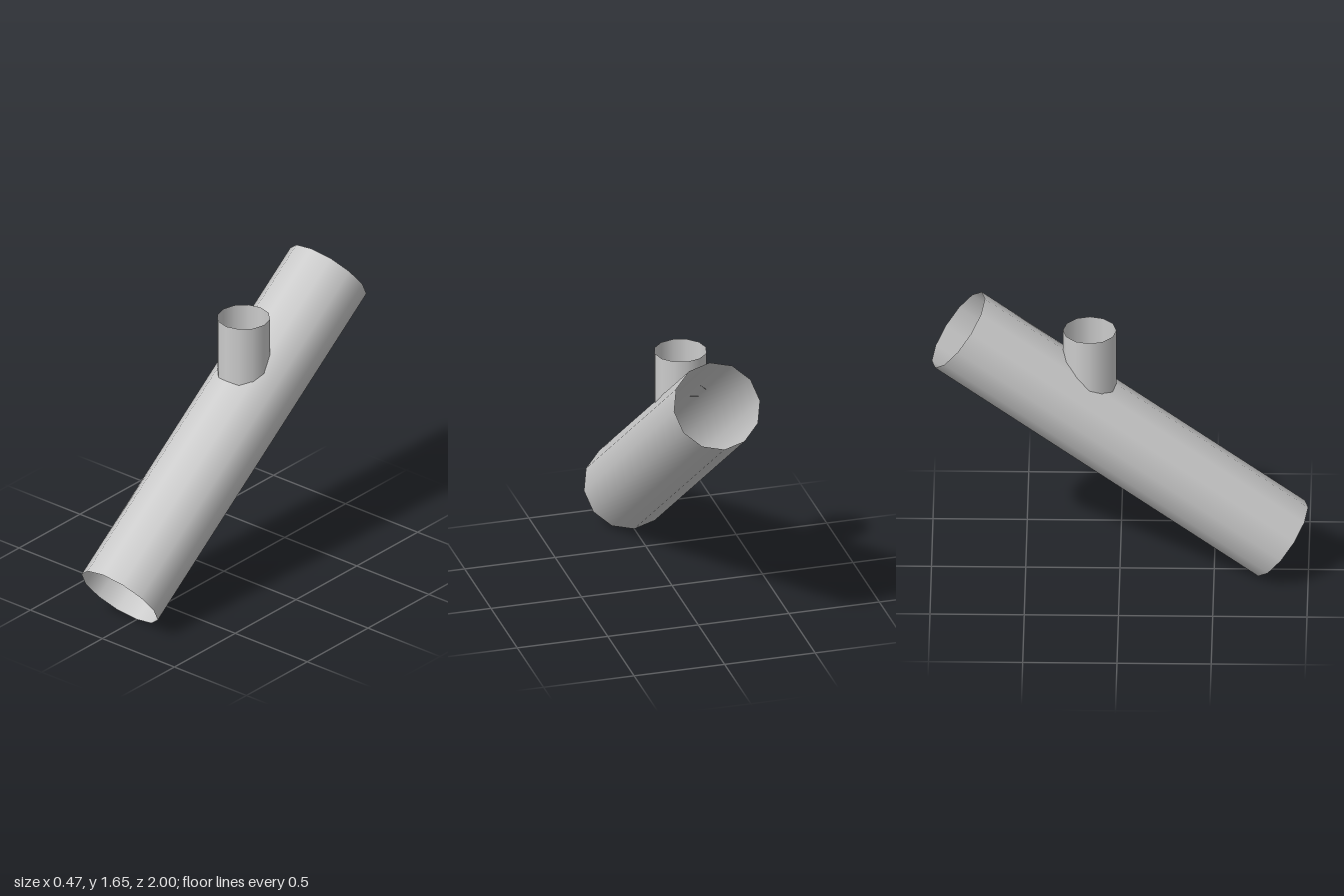
import * as THREE from 'three';

const SIDES = 12;
const RADIUS = 0.237;      // main tube
const RISE = 1.265;        // climb of the main tube's axis
const RUN = 1.715;         // its depth from front to back
const CENTER_Y = 0.828;
const TILT = Math.atan2(RUN, RISE);

// Height of the main tube's faceted upper surface above a point on the ground plane
function tubeSurfaceY(x, z) {
  const step = (2 * Math.PI) / SIDES;
  const ax = Math.abs(x);
  let i = 0;
  while (i < 2 && RADIUS * Math.sin((i + 1) * step) < ax) i++;
  const x0 = RADIUS * Math.sin(i * step), x1 = RADIUS * Math.sin((i + 1) * step);
  const h0 = RADIUS * Math.cos(i * step), h1 = RADIUS * Math.cos((i + 1) * step);
  const h = h0 + ((h1 - h0) * (ax - x0)) / (x1 - x0);
  return CENTER_Y - (z * RISE) / RUN + h / Math.sin(TILT);
}

export function createModel() {
  const model = new THREE.Group();
  model.name = 'pipeBranch';

  const gray = new THREE.MeshStandardMaterial({ color: 0xcccccc, side: THREE.DoubleSide });
  gray.name = 'lightGray';

  // Sloping main tube, open at both ends
  const mainTube = new THREE.Mesh(
    new THREE.CylinderGeometry(RADIUS, RADIUS, Math.hypot(RISE, RUN), SIDES, 1, true), gray);
  mainTube.name = 'mainTube';
  mainTube.position.y = CENTER_Y;
  mainTube.rotation.x = -TILT;
  model.add(mainTube);

  // Upright branch, its lower rim trimmed to the main tube's surface
  const top = 1.465, branchZ = -0.161;
  const geometry = new THREE.CylinderGeometry(0.1415, 0.1415, 1, SIDES, 1, true);
  geometry.translate(0, top - 0.5, branchZ);
  const p = geometry.attributes.position;
  for (let i = 0; i < p.count; i++) {
    if (p.getY(i) < top - 0.5) p.setY(i, tubeSurfaceY(p.getX(i), p.getZ(i)));
  }
  const branch = new THREE.Mesh(geometry, gray);
  branch.name = 'branchTube';
  model.add(branch);

  return model;
}
